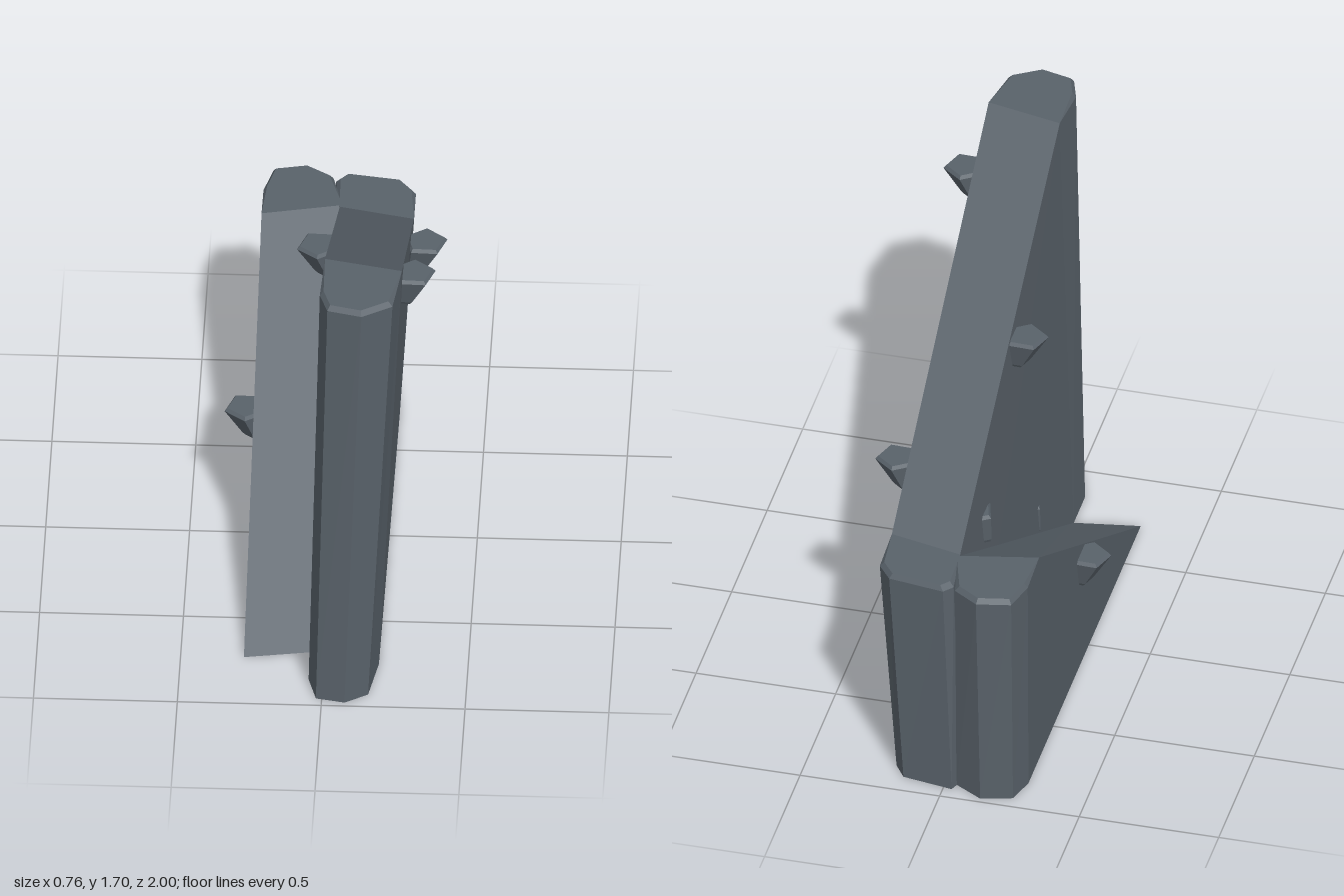
import * as THREE from 'three';

const stone = new THREE.MeshStandardMaterial({ color: 0x59626a });
stone.name = 'slateGrey';

// Collects triangles and skips collapsed ones
function meshFrom(name, build) {
  const pos = [];
  const t = new THREE.Triangle();
  const fan = (pts) => {
    for (let i = 1; i < pts.length - 1; i++) {
      t.set(pts[0], pts[i], pts[i + 1]);
      if (t.getArea() > 1e-7) [t.a, t.b, t.c].forEach((p) => pos.push(p.x, p.y, p.z));
    }
  };
  const band = (low, high) => low.forEach((p, i) => {
    const j = (i + 1) % low.length;
    fan([p, low[j], high[j], high[i]]);
  });
  build(fan, band);
  const geo = new THREE.BufferGeometry();
  geo.setAttribute('position', new THREE.Float32BufferAttribute(pos, 3));
  geo.computeVertexNormals();
  const mesh = new THREE.Mesh(geo, stone);
  mesh.name = name;
  return mesh;
}

// Slab: rows are [top x, top z, top y, base x, base z], counterclockwise from above.
// caps list the corners of each flat top; their outer edges are bevelled.
function slab(name, rows, caps, slope) {
  return meshFrom(name, (fan, band) => {
    const base = rows.map((r) => new THREE.Vector3(r[3], 0, r[4]));
    const rim = rows.map((r) => new THREE.Vector3(r[0], r[2], r[1]));
    const top = rim.map((p) => p.clone());
    for (const cap of caps) {
      const mid = new THREE.Vector3();
      cap.forEach((i) => mid.addScaledVector(rim[i], 1 / cap.length));
      cap.forEach((i) => {
        if (slope.includes(i)) return;
        top[i].lerp(mid, 0.11);
        rim[i].y -= 0.018;
      });
    }
    band(base, rim);
    band(rim, top);
    caps.forEach((cap) => fan(cap.map((i) => top[i])));
    fan(slope.map((i) => top[i]));
    fan([...base].reverse());
  });
}

// Five-sided peg leaning out from the wall; side is +1 or -1 in x
function peg(name, x, y, z, side) {
  const ring = (r, dx, h) => Array.from({ length: 5 }, (_, i) => {
    const a = 0.28 + (i * Math.PI * 2) / 5 + (side < 0 ? Math.PI : 0);
    return new THREE.Vector3(x + dx * side + r * Math.cos(a), y + h, z - r * Math.sin(a));
  });
  return meshFrom(name, (fan, band) => {
    const rings = [ring(0.036, -0.033, -0.12), ring(0.045, -0.03, -0.108),
      ring(0.078, 0, -0.012), ring(0.068, 0, 0)];
    for (let i = 0; i < 3; i++) band(rings[i], rings[i + 1]);
    fan([...rings[0]].reverse());
    fan(rings[3]);
  });
}

export function createModel() {
  const group = new THREE.Group();
  group.name = 'doubleRamp';

  group.add(slab('tallRampSlab', [
    [0.27, 0.75, 1.7, 0.19, 0.75],
    [0.25, -0.69, 0.86, 0.2, -0.69],
    [0.25, -0.86, 0.86, 0.19, -0.86],
    [0.2, -0.925, 0.86, 0.15, -0.92],
    [0, -0.955, 0.86, -0.03, -0.95],
    [-0.03, -0.92, 0.86, -0.05, -0.9],
    [-0.01, -0.75, 0.86, -0.04, -0.75],
    [0, 0.69, 1.7, -0.05, 0.69],
    [-0.01, 0.88, 1.7, -0.05, 0.85],
    [0.02, 0.97, 1.7, -0.02, 0.96],
    [0.14, 1, 1.7, 0.08, 0.98],
    [0.245, 0.935, 1.7, 0.16, 0.93],
  ], [[7, 8, 9, 10, 11, 0], [1, 2, 3, 4, 5, 6]], [0, 1, 6, 7]));

  group.add(slab('lowRampSlab', [
    [-0.04, 0.69, 0, -0.04, 0.69],
    [0, -0.76, 0.86, -0.03, -0.76],
    [-0.04, -0.94, 0.86, -0.04, -0.92],
    [-0.13, -1, 0.86, -0.14, -0.98],
    [-0.25, -0.975, 0.86, -0.25, -0.95],
    [-0.28, -0.86, 0.86, -0.28, -0.85],
    [-0.28, -0.7, 0.86, -0.28, -0.7],
    [-0.28, 0.73, 0, -0.28, 0.73],
  ], [[1, 2, 3, 4, 5, 6]], [0, 1, 6, 7]));

  // Pegs near the sloping edges
  group.add(peg('upperLeftPeg', 0.303, 1.56, 0.56, 1));
  group.add(peg('lowerLeftPeg', 0.303, 0.985, -0.4, 1));
  group.add(peg('upperRightPeg', -0.05, 1.27, 0.02, -1));
  group.add(peg('lowerRightPeg', -0.307, 0.47, -0.105, -1));
  group.add(peg('innerFrontPeg', 0.03, 0.38, 0.27, 1));
  group.add(peg('innerBackPeg', 0.03, 0.82, -0.42, 1));
  return group;
}
